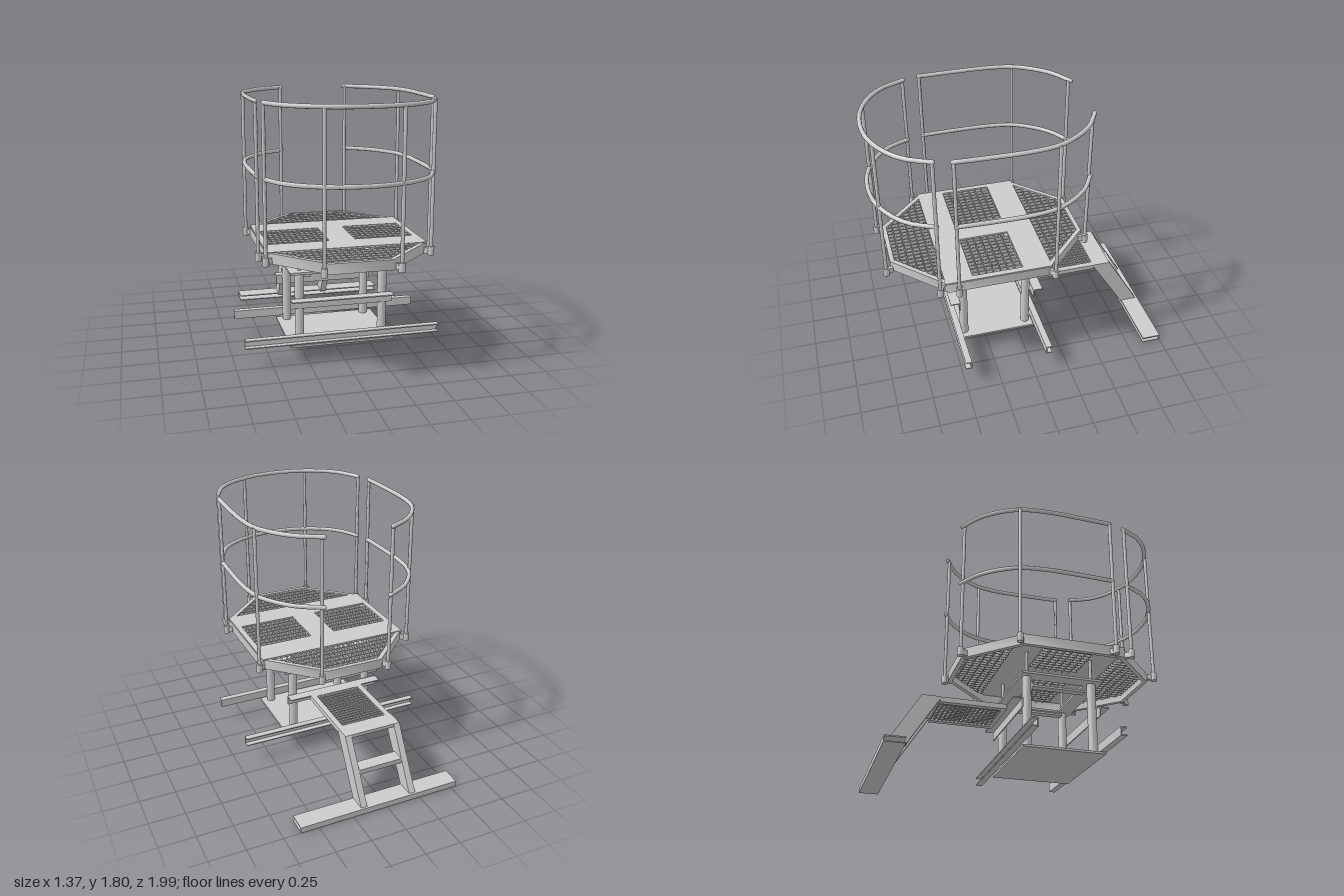
import * as THREE from 'three';
import { mergeGeometries, toCreasedNormals } from 'three/addons/utils/BufferGeometryUtils.js';

const mat = new THREE.MeshStandardMaterial({ color: 0xcccccc, side: THREE.DoubleSide });
const DECK_Z = 0.21; // deck centre in z

// box geometry from its extents
function span(x0, x1, y0, y1, z0, z1) {
  return new THREE.BoxGeometry(x1 - x0, y1 - y0, z1 - z0)
    .translate((x0 + x1) / 2, (y0 + y1) / 2, (z0 + z1) / 2);
}
function rod(x, z, y0, y1, r, sides = 16) {
  return new THREE.CylinderGeometry(r, r, y1 - y0, sides).translate(x, (y0 + y1) / 2, z);
}
function part(parent, name, geos) {
  const mesh = new THREE.Mesh(mergeGeometries(geos), mat);
  mesh.name = name;
  parent.add(mesh);
  return mesh;
}
// horizontal plate from [x, z] outline and holes, between y0 and y1
function plate(outline, holes, y0, y1) {
  const pts = (a) => a.map(([x, z]) => new THREE.Vector2(x, -z));
  const shape = new THREE.Shape(pts(outline));
  holes.forEach((h) => shape.holes.push(new THREE.Path(pts(h))));
  return new THREE.ExtrudeGeometry(shape, { depth: y1 - y0, bevelEnabled: false })
    .rotateX(-Math.PI / 2).translate(0, y0, 0);
}
const rect = (x0, x1, z0, z1) => [[x0, z0], [x1, z0], [x1, z1], [x0, z1]];

// stretched octagon of the deck, moved inwards by d
function octagon(d) {
  const a = 0.55 - d, b = 0.35 - d * 0.41, c = 0.205 - d * 0.41, e = 0.69 - d;
  return [[a, -b], [a, b], [c, e], [-c, e], [-a, b], [-a, -b], [-c, -e], [c, -e]]
    .map(([x, z]) => [x, z + DECK_Z]);
}
// half extents of the deck at a given position, for clipping grating bars
const halfX = (z) => 0.53 - Math.max(0, Math.abs(z - DECK_Z) - 0.35) * 1.02;
const halfZ = (x) => 0.67 - Math.max(0, Math.abs(x) - 0.2) * 0.98;

function grating(x0, x1, z0, z1, y0, y1, sx, sz, clip) {
  const t = 0.0025, geos = [];
  const nx = Math.round((x1 - x0) / sx), nz = Math.round((z1 - z0) / sz);
  for (let i = 1; i < nx; i++) {
    const x = x0 + (x1 - x0) * i / nx;
    const a = clip ? Math.max(z0, DECK_Z - halfZ(x)) : z0;
    const b = clip ? Math.min(z1, DECK_Z + halfZ(x)) : z1;
    if (b - a > 0.01) geos.push(span(x - t, x + t, y0, y1, a, b));
  }
  for (let i = 1; i < nz; i++) {
    const z = z0 + (z1 - z0) * i / nz;
    const a = clip ? Math.max(x0, -halfX(z)) : x0;
    const b = clip ? Math.min(x1, halfX(z)) : x1;
    geos.push(span(a, b, y0, y1, z - t, z + t));
  }
  return geos;
}

function buildDeck() {
  const g = new THREE.Group();
  g.name = 'deck';
  part(g, 'deckFrame', [plate(octagon(0), [octagon(0.03)], 0.755, 0.825)]);
  const windows = [rect(-0.505, -0.085, 0.04, 0.39), rect(0.095, 0.505, 0.04, 0.39)];
  part(g, 'deckPlate', [plate(rect(-0.545, 0.545, -0.16, 0.58), windows, 0.815, 0.83)]);
  const y0 = 0.798, y1 = 0.823;
  part(g, 'backGrating', grating(-0.53, 0.53, -0.46, -0.16, y0, y1, 0.04, 0.05, true));
  part(g, 'frontGrating', grating(-0.53, 0.53, 0.58, 0.88, y0, y1, 0.04, 0.05, true));
  part(g, 'rightGrating', grating(-0.505, -0.085, 0.04, 0.39, y0, y1, 0.038, 0.05, false));
  part(g, 'leftGrating', grating(0.095, 0.505, 0.04, 0.39, y0, y1, 0.038, 0.05, false));
  return g;
}

function buildRailing() {
  const g = new THREE.Group();
  g.name = 'railing';
  const side = [[0.24, -0.51], [0.39, -0.42], [0.49, -0.31], [0.565, -0.175], [0.594, 0], [0.597, 0.2], [0.588, 0.5]];
  const halfFront = [[0.555, 0.615], [0.48, 0.765], [0.375, 0.865], [0.2, 0.95]];
  const mirror = (a) => a.map(([x, z]) => [-x, z]);
  const paths = {
    leftRail: side,
    rightRail: mirror(side),
    frontRail: [...halfFront, [0, 0.977], ...mirror(halfFront).reverse()],
  };
  // each bent rail at hand height and knee height
  for (const [name, path] of Object.entries(paths)) {
    const geos = [];
    for (const y of [1.315, 1.79]) {
      const pts = path.map(([x, z]) => new THREE.Vector3(x, y, z));
      const curve = new THREE.CatmullRomCurve3(pts);
      geos.push(new THREE.TubeGeometry(curve, 18, 0.015, 10));
      for (const p of [pts[0], pts.at(-1)]) {
        geos.push(new THREE.SphereGeometry(0.015, 10, 6).translate(p.x, p.y, p.z));
      }
    }
    part(g, name, geos);
  }
  // uprights with their sockets on the deck edge
  const posts = [], sockets = [];
  for (const s of [-1, 1]) {
    for (const [x, z] of [[0.25, -0.495], [0.575, -0.175], [0.588, 0.497], [0.558, 0.62], [0.248, 0.935]]) {
      posts.push(rod(s * x, z, 0.76, 1.79, 0.0125, 12));
      sockets.push(rod(s * x, z, 0.752, 0.812, 0.022, 12));
      // lug from socket to deck frame
      const dx = x * 0.94 - x, dz = (z - DECK_Z) * -0.06, len = 0.05;
      sockets.push(new THREE.BoxGeometry(len, 0.04, 0.025)
        .rotateY(-Math.atan2(dz, s * dx)).translate(s * (x + dx / 2), 0.78, z + dz / 2));
    }
  }
  part(g, 'railPosts', posts);
  part(g, 'postSockets', sockets);
  return g;
}

function buildBase() {
  const g = new THREE.Group();
  g.name = 'base';
  const columns = [], struts = [];
  for (const x of [-0.302, 0.282]) {
    for (const z of [0.42, -0.045]) {
      columns.push(rod(x, z, 0.13, 0.635, 0.031, 24));
      struts.push(rod(x, z, 0.63, 0.82, 0.012, 12));
    }
  }
  part(g, 'columns', columns);
  part(g, 'deckStruts', struts);
  part(g, 'basePlate', [span(-0.375, 0.354, 0.115, 0.13, -0.092, 0.48)]);
  part(g, 'topFrame', [plate(rect(-0.375, 0.354, -0.095, 0.48), [rect(-0.27, 0.25, 0.01, 0.375)], 0.63, 0.646)]);
  // braces running front to back under the top frame
  const braces = [];
  for (const [a, b] of [[-0.27, -0.215], [0.195, 0.25]]) {
    braces.push(span(a, b, 0.585, 0.6, 0, 0.39));
    braces.push(span(a, b, 0.56, 0.62, -0.015, 0.01));
  }
  part(g, 'braces', braces);
  // long lower channels and shorter upper angles on both faces, open outwards
  const lower = [], upper = [];
  for (const [z, s] of [[0.45, 1], [-0.09, -1]]) {
    const strip = (x0, x1, y0, y1, a, b) =>
      span(x0, x1, y0, y1, Math.min(z + s * a, z + s * b), Math.max(z + s * a, z + s * b));
    lower.push(strip(-0.685, 0.68, 0.14, 0.2, 0, 0.008));
    lower.push(strip(-0.685, 0.68, 0.192, 0.2, 0, 0.045));
    lower.push(strip(-0.685, 0.68, 0.14, 0.147, 0, 0.045));
    upper.push(strip(-0.37, 0.342, 0.385, 0.452, 0, 0.008));
    upper.push(strip(-0.37, 0.342, 0.445, 0.453, 0, 0.07));
  }
  part(g, 'lowerChannels', lower);
  part(g, 'upperAngles', upper);
  return g;
}

function buildSteps() {
  const g = new THREE.Group();
  g.name = 'steps';
  // landing with grating
  part(g, 'landingFrame', [plate(rect(-0.215, 0.19, -0.61, -0.155), [rect(-0.175, 0.15, -0.605, -0.185)], 0.42, 0.455)]);
  part(g, 'landingGrating', grating(-0.175, 0.15, -0.605, -0.185, 0.425, 0.45, 0.03, 0.028, false));
  // sloping stringers
  const outline = [[0.6, 0.455], [0.735, 0.455], [0.995, 0.025], [0.87, 0.025]].map(([z, y]) => new THREE.Vector2(z, y));
  const stringers = [-0.22, 0.145].map((x) =>
    new THREE.ExtrudeGeometry(new THREE.Shape(outline), { depth: 0.045, bevelEnabled: false })
      .rotateY(Math.PI / 2).translate(x, 0, 0));
  part(g, 'stringers', stringers);
  part(g, 'treads', [
    span(-0.18, 0.15, 0.43, 0.455, -0.735, -0.605),
    span(-0.18, 0.15, 0.215, 0.25, -0.86, -0.765),
  ]);
  // channel the steps stand on
  part(g, 'footChannel', [
    span(-0.54, 0.63, 0.034, 0.042, -1, -0.867),
    span(-0.54, 0.63, 0, 0.042, -1, -0.992),
    span(-0.54, 0.63, 0, 0.007, -1, -0.867),
  ]);
  return g;
}

export function createModel() {
  const model = new THREE.Group();
  model.name = 'railedPlatform';
  model.add(buildDeck(), buildRailing(), buildBase(), buildSteps());
  model.traverse((o) => {
    if (o.isMesh) o.geometry = toCreasedNormals(o.geometry, 0.8);
  });
  return model;
}
